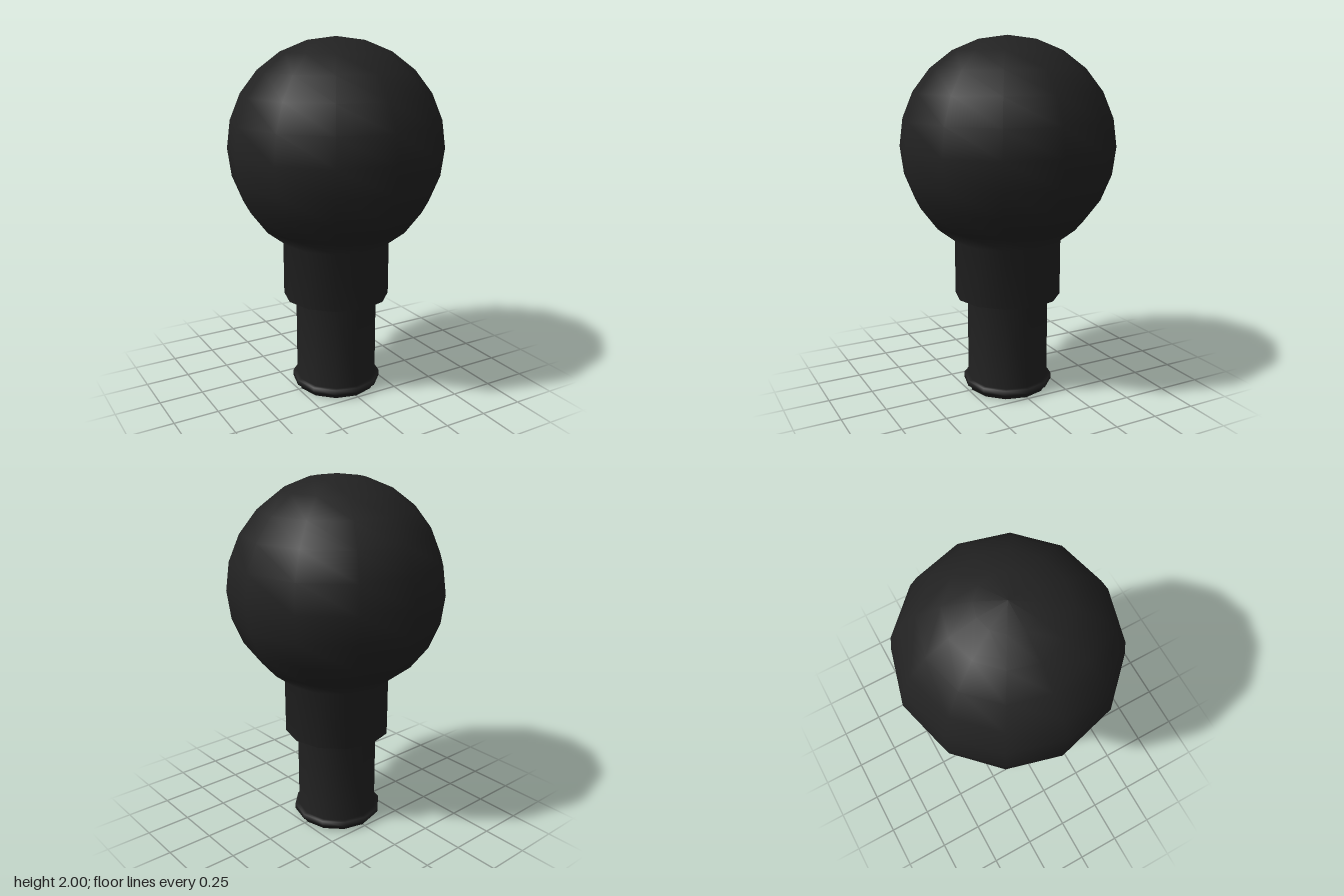
import * as THREE from 'three';

const SIDES = 12;

export function createModel() {
  const model = new THREE.Group();
  const black = new THREE.MeshStandardMaterial({ color: 0x222222 });
  black.name = 'matte black';

  const add = (name, geometry) => {
    const mesh = new THREE.Mesh(geometry, black);
    mesh.name = name;
    model.add(mesh);
    return mesh;
  };

  // Ball, collar, stem and foot flange turned as one smooth body, bottom to top
  const profile = [
    [0.09, 0], [0.23, 0], [0.23, 0.03], [0.255, 0.03], [0.255, 0.06],
    [0.23, 0.06], [0.23, 0.555], [0.3, 0.555],
  ].map(([r, y]) => new THREE.Vector2(r, y));

  // Ball in 15 degree rings, starting where it meets the collar
  for (let deg = 30; deg <= 180; deg += 15) {
    const a = THREE.MathUtils.degToRad(deg);
    profile.push(new THREE.Vector2(deg === 180 ? 0 : 0.6 * Math.sin(a), 1.4 - 0.6 * Math.cos(a)));
  }
  add('knobBody', new THREE.LatheGeometry(profile, SIDES));

  // Flat disc closing the foot
  const disc = new THREE.CircleGeometry(0.09, SIDES);
  disc.rotateX(Math.PI / 2);
  add('footDisc', disc);

  return model;
}
